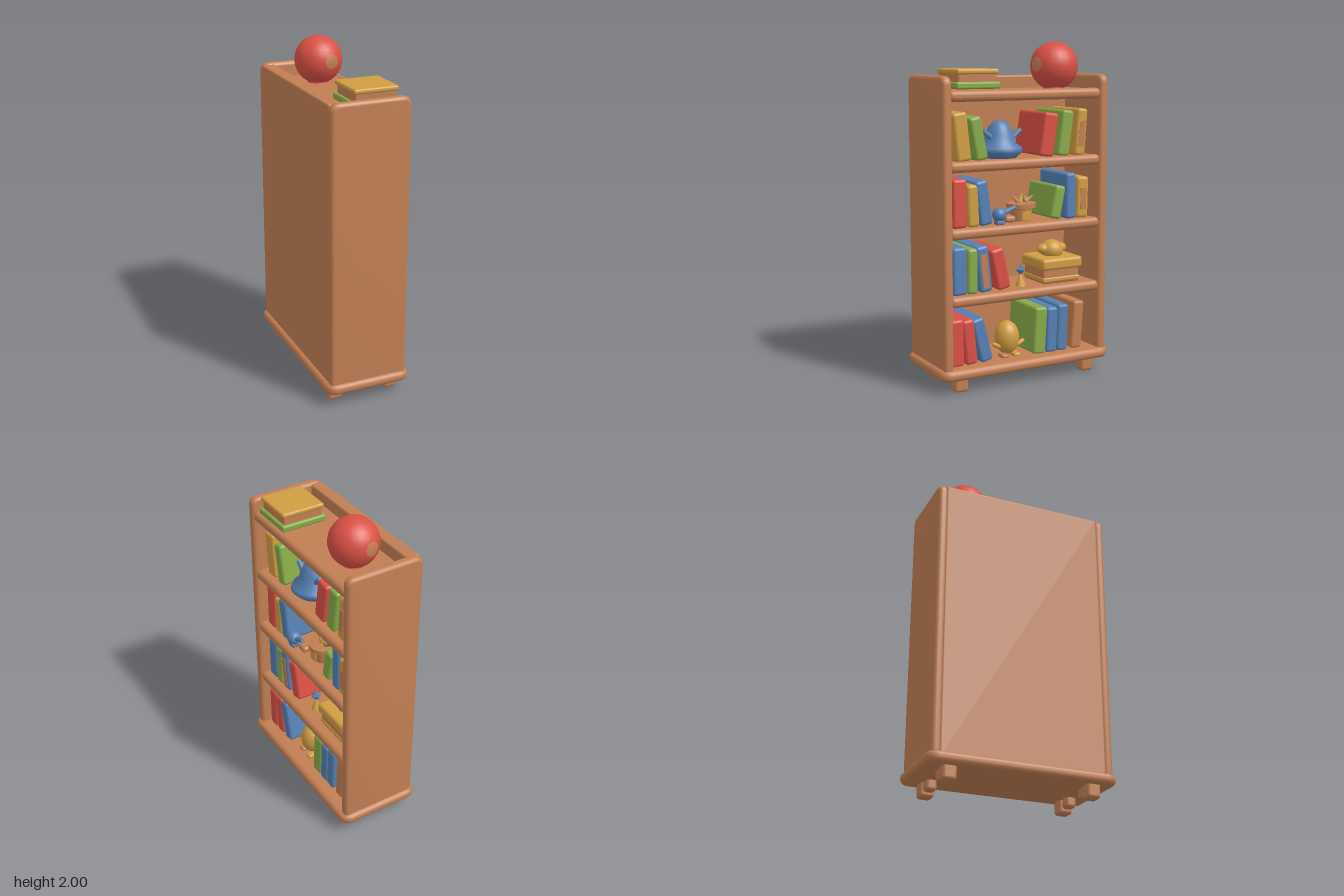
import * as THREE from 'three';
import { RoundedBoxGeometry } from 'three/addons/geometries/RoundedBoxGeometry.js';
import { toCreasedNormals } from 'three/addons/utils/BufferGeometryUtils.js';

const mat = (name, color) => new THREE.MeshStandardMaterial({ name, color });

export function createModel() {
  const wood = mat('wood', 0xc17e53);
  const red = mat('red', 0xd95045);
  const yellow = mat('yellow', 0xd09c42);
  const green = mat('green', 0x86aa48);
  const blue = mat('blue', 0x5580b2);

  const model = new THREE.Group();
  model.name = 'bookcase';

  const add = (parent, name, geometry, material, x = 0, y = 0, z = 0) => {
    const mesh = new THREE.Mesh(geometry, material);
    mesh.name = name;
    mesh.position.set(x, y, z);
    parent.add(mesh);
    return mesh;
  };
  const group = (name, x, y, z) => {
    const g = new THREE.Group();
    g.name = name;
    g.position.set(x, y, z);
    model.add(g);
    return g;
  };
  const rbox = (w, h, d, r = 0.015) => new RoundedBoxGeometry(w, h, d, 3, r);
  const ball = (r) => new THREE.SphereGeometry(r, 24, 16);

  // Slab in the XY plane with rounded corners and softened edges, centred on z
  const slab = (w, h, depth, corner, bevel) => {
    const a = w / 2 - bevel, b = h / 2 - bevel, c = corner;
    const s = new THREE.Shape();
    s.moveTo(-a + c, -b).lineTo(a - c, -b);
    s.quadraticCurveTo(a, -b, a, -b + c).lineTo(a, b - c);
    s.quadraticCurveTo(a, b, a - c, b).lineTo(-a + c, b);
    s.quadraticCurveTo(-a, b, -a, b - c).lineTo(-a, -b + c);
    s.quadraticCurveTo(-a, -b, -a + c, -b);
    const g = new THREE.ExtrudeGeometry(s, {
      depth: depth - 2 * bevel, bevelEnabled: true, bevelSize: bevel,
      bevelThickness: bevel, bevelSegments: 4, curveSegments: 6,
    });
    g.translate(0, 0, -depth / 2 + bevel);
    return toCreasedNormals(g, 0.7);
  };

  // Carcass: base, sides, back
  const base = add(model, 'base', slab(0.53, 1.14, 0.065, 0.04, 0.03), wood, 0, 0.112, 0);
  base.rotation.x = -Math.PI / 2;
  for (const s of [-1, 1]) {
    add(model, 'sidePanel', slab(0.48, 1.71, 0.058, 0.03, 0.022), wood, 0, 0.955, s * 0.517);
  }
  add(model, 'backPanel', rbox(0.08, 1.69, 1.0, 0.012), wood, -0.198, 0.955, 0);

  // Feet: a tall outer lobe beside a shorter inner one
  for (const sx of [-1, 1]) {
    for (const sz of [-1, 1]) {
      add(model, 'foot', rbox(0.085, 0.1, 0.085, 0.02), wood, sx * 0.178, 0.05, sz * 0.43);
      add(model, 'footLobe', rbox(0.07, 0.08, 0.065, 0.02), wood, sx * 0.1, 0.06, sz * 0.43);
    }
  }

  // Shelves with rounded front rails
  for (const top of [0.565, 0.955, 1.335, 1.73]) {
    add(model, 'shelf', new THREE.BoxGeometry(0.37, 0.045, 0.99), wood, 0.01, top - 0.03, 0);
    add(model, 'shelfRail', rbox(0.06, 0.063, 1.0, 0.028), wood, 0.205, top - 0.032, 0);
  }

  // Books: material, z at the foot, z at the top, thickness, height, cover patch height
  const rows = [
    [0.14, [
      [red, 0.437, 0.44, 0.085, 0.28], [red, 0.342, 0.37, 0.075, 0.275],
      [blue, 0.241, 0.31, 0.08, 0.28], [green, -0.109, -0.125, 0.085, 0.29],
      [blue, -0.193, -0.203, 0.075, 0.28], [blue, -0.268, -0.278, 0.072, 0.29],
      [wood, -0.368, -0.39, 0.075, 0.3]]],
    [0.56, [
      [blue, 0.416, 0.42, 0.09, 0.28], [green, 0.336, 0.336, 0.065, 0.265],
      [blue, 0.246, 0.278, 0.08, 0.28, 0.2], [red, 0.125, 0.183, 0.085, 0.26]]],
    [0.95, [
      [red, 0.416, 0.416, 0.09, 0.28], [yellow, 0.326, 0.336, 0.07, 0.245],
      [blue, 0.241, 0.283, 0.08, 0.27], [green, -0.215, -0.257, 0.07, 0.21],
      [blue, -0.326, -0.326, 0.07, 0.275], [yellow, -0.405, -0.41, 0.08, 0.25, 0.13]]],
    [1.325, [
      [yellow, 0.384, 0.416, 0.09, 0.285], [green, 0.268, 0.32, 0.075, 0.26],
      [red, -0.151, -0.193, 0.095, 0.27], [green, -0.268, -0.305, 0.08, 0.28],
      [yellow, -0.384, -0.405, 0.07, 0.285, 0.15]]],
  ];
  for (const [y, books] of rows) {
    for (const [material, z0, z1, w, h, patch] of books) {
      const lean = Math.atan2(z1 - z0, h);
      const length = (h - w * Math.abs(Math.sin(lean))) / Math.cos(lean);
      const g = group('book', 0.025, y + h / 2, (z0 + z1) / 2);
      g.rotation.x = lean;
      add(g, 'bookCover', rbox(0.32, length, w, 0.018), material);
      if (patch) add(g, 'spinePatch', new THREE.BoxGeometry(0.006, patch, w * 0.5), wood, 0.16, -0.01, 0);
    }
  }

  // Ball with pale patches, resting on the top
  const toy = group('ball', 0.04, 1.857, -0.285);
  add(toy, 'ballBody', ball(0.143), red);
  add(toy, 'ballStand', new THREE.CylinderGeometry(0.06, 0.07, 0.03, 20), red, 0, -0.13, 0);
  for (const s of [-1, 1]) {
    const patch = add(toy, 'ballPatch', new THREE.SphereGeometry(0.146, 20, 5, 0, Math.PI * 2, 0, 0.3), wood);
    patch.rotation.set(s * 1.5, 0, s * -0.2);
  }

  // Thick book lying on the top
  const lying = group('lyingBook', 0.075, 1.73, 0.31);
  add(lying, 'lowerCover', rbox(0.285, 0.04, 0.28, 0.012), green, 0, 0.025, 0);
  add(lying, 'pages', rbox(0.25, 0.07, 0.245, 0.01), wood, 0, 0.065, 0);
  add(lying, 'upperCover', rbox(0.27, 0.03, 0.265, 0.012), yellow, 0, 0.102, 0);

  // Hat with a wide brim and two side twigs
  const hat = group('hat', 0.06, 1.33, 0.098);
  const hatProfile = [[0, 0], [0.1, 0], [0.137, 0.035], [0.13, 0.06], [0.095, 0.085], [0.085, 0.13],
    [0.06, 0.185], [0.035, 0.212], [0, 0.215]].map(([x, y]) => new THREE.Vector2(x, y));
  add(hat, 'hatBody', new THREE.LatheGeometry(hatProfile, 24), blue);
  for (const s of [-1, 1]) {
    const twig = add(hat, 'hatTwig', new THREE.CylinderGeometry(0.015, 0.018, 0.1, 10), blue, 0.03, 0.13, s * 0.085);
    twig.rotation.x = s * 0.9;
  }

  // Small plant pot with leaves
  const pot = group('plantPot', 0.08, 0.95, -0.035);
  const potProfile = [[0, 0], [0.062, 0], [0.07, 0.075], [0.09, 0.08], [0.09, 0.105], [0.07, 0.11], [0, 0.105]]
    .map(([x, y]) => new THREE.Vector2(x, y));
  add(pot, 'potBody', toCreasedNormals(new THREE.LatheGeometry(potProfile, 20), 0.6), wood);
  add(pot, 'potLabel', new THREE.BoxGeometry(0.006, 0.055, 0.06), yellow, 0.07, 0.035, 0);
  [[green, -0.03, 0.5], [yellow, 0, -0.2], [wood, 0.035, 0.8], [wood, -0.06, -1]].forEach(([m, z, tilt]) => {
    const leaf = add(pot, 'leaf', new THREE.ConeGeometry(0.022, 0.075, 8), m, 0, 0.128, z);
    leaf.rotation.x = tilt;
  });
  // Watering toy beside the pot
  const can = group('wateringToy', 0.17, 0.95, 0.16);
  add(can, 'canBody', ball(0.042), blue, 0, 0.06, 0);
  add(can, 'canFoot', rbox(0.05, 0.03, 0.05, 0.01), blue, 0, 0.015, 0);
  const spout = add(can, 'canSpout', new THREE.CylinderGeometry(0.012, 0.016, 0.1, 10), blue, 0, 0.08, -0.06);
  spout.rotation.x = -1.2;
  add(can, 'canPebble', rbox(0.06, 0.04, 0.07, 0.018), wood, -0.03, 0.025, -0.08);

  // Small bottle
  const bottle = group('bottle', 0.12, 0.56, -0.012);
  add(bottle, 'bottleBody', new THREE.ConeGeometry(0.032, 0.09, 12), yellow, 0, 0.045, 0);
  add(bottle, 'bottleTop', new THREE.OctahedronGeometry(0.034), blue, 0, 0.1, 0);

  // Lidded box with a knotted top
  const chest = group('giftBox', 0.05, 0.56, -0.27);
  add(chest, 'boxBody', rbox(0.23, 0.1, 0.25, 0.012), wood, 0, 0.05, 0);
  add(chest, 'boxBand', rbox(0.24, 0.03, 0.26, 0.01), yellow, 0, 0.025, 0);
  add(chest, 'boxLid', rbox(0.27, 0.07, 0.28, 0.02), yellow, 0, 0.12, 0);
  add(chest, 'knot', ball(0.07), yellow, 0, 0.185, 0).scale.set(1, 0.9, 1);
  for (const s of [-1, 1]) add(chest, 'bowLoop', ball(0.045), yellow, 0, 0.195, s * 0.055).scale.set(0.8, 0.7, 1);

  // Egg-shaped figure
  const figure = group('eggFigure', 0.1, 0.14, 0.072);
  add(figure, 'eggBody', ball(0.075), yellow, 0, 0.113, 0).scale.y = 1.35;
  for (const s of [-1, 1]) {
    const arm = add(figure, 'eggArm', new THREE.CapsuleGeometry(0.014, 0.035, 4, 10), yellow, 0.02, 0.075, s * 0.08);
    arm.rotation.x = s * 1.1;
    add(figure, 'eggFoot', rbox(0.07, 0.025, 0.045, 0.01), s > 0 ? wood : yellow, 0.03, 0.012, s * 0.04);
  }

  return model;
}
